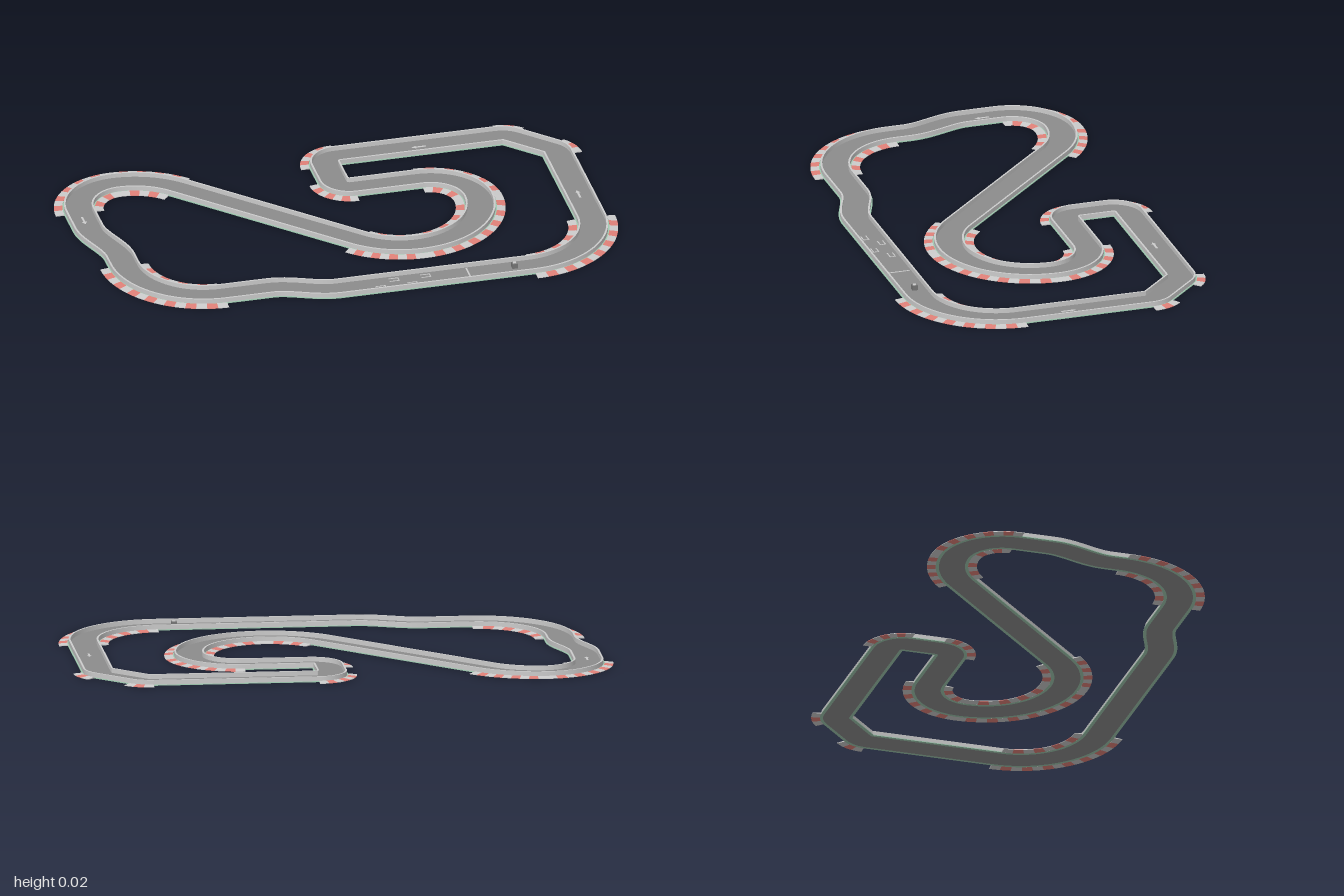
import * as THREE from 'three';
import { mergeGeometries, toCreasedNormals } from 'three/addons/utils/BufferGeometryUtils.js';

const Q = Math.PI / 2, E = Math.PI / 4;

// Circuit layout, driven from the start of the front straight:
// ['line', length], ['arc', radius, angle (+ left, - right)], ['shift', length, sideways (+ left)]
const LAYOUT = [
  ['line', 0.74], ['arc', 0.30, Q], ['line', 0.495], ['arc', 0.06, E], ['line', 0.17], ['arc', 0.06, E],
  ['line', 0.615], ['arc', 0.06, Q], ['line', 0.125], ['arc', 0.06, Q], ['line', 0.25],
  ['arc', 0.18, -Q], ['arc', 0.30, -Q], ['arc', 0.30, -E], ['line', 0.777],
  ['arc', 0.30, E], ['arc', 0.18, Q], ['line', 0.13], ['shift', 0.24, 0.06], ['line', 0.06],
  ['arc', 0.30, Q], ['line', 0.18], ['shift', 0.2385, -0.065],
];

// Walks the layout; each section becomes a function t -> { x, z, a } (a = heading)
function layTrack() {
  let x = -0.13, z = 0.485, a = 0;
  return LAYOUT.map(([kind, size, turn = 0]) => {
    const sx = x, sz = z, sa = a;
    const move = (along, left, da) => ({
      x: sx + along * Math.cos(sa) + left * Math.sin(sa),
      z: sz + along * Math.sin(sa) - left * Math.cos(sa),
      a: sa - da,
    });
    const at = (t) => {
      if (kind === 'line') return move(size * t, 0, 0);
      if (kind === 'shift') {
        return move(size * t, turn * t * t * (3 - 2 * t), Math.atan(turn * 6 * t * (1 - t) / size));
      }
      const angle = Math.abs(turn) * t, s = Math.sign(turn);
      return move(size * Math.sin(angle), s * size * (1 - Math.cos(angle)), s * angle);
    };
    ({ x, z, a } = at(1));
    return { kind, size, turn, at };
  });
}

// Sweeps a counter-clockwise profile of [offset to the left, height] along the samples
function sweep(samples, profile, capped = false) {
  const pos = [];
  const point = (s, [o, y]) => [s.x + o * Math.sin(s.a), y, s.z - o * Math.cos(s.a)];
  const tri = (...corners) => corners.forEach((c) => pos.push(...c));
  for (let i = 0; i < samples.length - 1; i++) {
    profile.forEach((p, j) => {
      const q = profile[(j + 1) % profile.length];
      const a = point(samples[i], p), b = point(samples[i], q);
      const c = point(samples[i + 1], q), d = point(samples[i + 1], p);
      tri(a, b, c);
      tri(a, c, d);
    });
  }
  if (capped) {
    const first = profile.map((p) => point(samples[0], p));
    const last = profile.map((p) => point(samples[samples.length - 1], p));
    for (let j = 1; j < profile.length - 1; j++) {
      tri(first[0], first[j + 1], first[j]);
      tri(last[0], last[j], last[j + 1]);
    }
  }
  const geo = new THREE.BufferGeometry();
  geo.setAttribute('position', new THREE.Float32BufferAttribute(pos, 3));
  return toCreasedNormals(geo, 0.5);
}

const slab = (a, b, y0, y1) => [[a, y0], [b, y0], [b, y1], [a, y1]];
const mirrored = (profile) => profile.map(([o, y]) => [-o, y]).reverse();

export function createModel() {
  const group = new THREE.Group();
  const add = (name, geo, color, parent = group) => {
    const mesh = new THREE.Mesh(geo, new THREE.MeshStandardMaterial({ color }));
    mesh.name = name;
    parent.add(mesh);
    return mesh;
  };

  const sections = layTrack();
  const samples = [];
  sections.forEach(({ kind, size, turn, at }) => {
    const n = kind === 'line' ? 1 : kind === 'shift' ? 14 : Math.ceil(Math.abs(turn) / Q * (size > 0.1 ? 24 : 12));
    for (let i = 0; i < n; i++) samples.push(at(i / n));
  });
  samples.push(samples[0]);

  // Road bed, with a green verge and a wall on both edges
  add('road', sweep(samples, slab(-0.048, 0.048, 0, 0.003)), 0x8c8c8c);
  [['left', (p) => p], ['right', mirrored]].forEach(([side, flip]) => {
    add(side + 'Verge', sweep(samples, flip(slab(0.048, 0.06, 0, 0.003))), 0x9fc9b0);
    add(side + 'Wall', sweep(samples, flip(slab(0.048, 0.055, 0.003, 0.02))), 0xcccccc);
  });

  // Sloping kerbs of alternating blocks along every bend
  const kerb = [[0.06, 0], [0.092, 0], [0.092, 0.002], [0.06, 0.005]];
  const blocks = [[], []];
  sections.filter((s) => s.kind === 'arc').forEach(({ size, turn, at }) => {
    [-1, 1].forEach((side) => {
      const inside = side === Math.sign(turn);
      if (inside && size < 0.1) return;
      const length = (size + (inside ? -0.075 : 0.075)) * Math.abs(turn);
      const n = Math.max(3, Math.round(length / 0.08) * 2 + 1);
      for (let i = 0; i < n; i++) {
        const part = [0, 0.5, 1].map((f) => at((i + f) / n));
        blocks[i % 2].push(sweep(part, side > 0 ? kerb : mirrored(kerb), true));
      }
    });
  });
  add('paleKerbs', mergeGeometries(blocks[0]), 0xcccccc);
  add('redKerbs', mergeGeometries(blocks[1]), 0xe08078);

  // Painted markings
  const paint = (w, d, x, z) => new THREE.BoxGeometry(w, 0.001, d).translate(x, 0.0035, z);
  add('startLine', paint(0.006, 0.085, 0.37, 0.485), 0xcccccc);
  [[0.03, 0.507], [0.09, 0.462], [0.15, 0.507], [0.21, 0.462]].forEach(([x, z]) => {
    add('gridBox', mergeGeometries([
      paint(0.004, 0.024, x + 0.018, z),
      paint(0.036, 0.004, x, z - 0.01),
      paint(0.036, 0.004, x, z + 0.01),
    ]), 0xcccccc);
  });

  // Direction arrows
  const arrow = new THREE.Shape([[-0.028, -0.004], [0.01, -0.004], [0.01, -0.009], [0.028, 0],
    [0.01, 0.009], [0.01, 0.004], [-0.028, 0.004]].map(([x, y]) => new THREE.Vector2(x, y)));
  const arrowGeo = new THREE.ExtrudeGeometry(arrow, { depth: 0.001, bevelEnabled: false }).rotateX(-Q);
  [[0.91, 0, Q], [0.425, -0.49, Math.PI], [-0.91, -0.25, -Q]].forEach(([x, z, turn]) => {
    const mesh = add('directionArrow', arrowGeo, 0xcccccc);
    mesh.position.set(x, 0.003, z);
    mesh.rotation.y = turn;
  });

  // Small post standing on the front straight
  const post = new THREE.Group();
  post.name = 'startPost';
  add('postBody', new THREE.BoxGeometry(0.02, 0.019, 0.02).translate(0, 0.0125, 0), 0x777777, post);
  add('postCap', new THREE.BoxGeometry(0.012, 0.002, 0.012).translate(0, 0.023, 0), 0xcccccc, post);
  post.position.set(0.545, 0, 0.48);
  group.add(post);

  return group;
}
